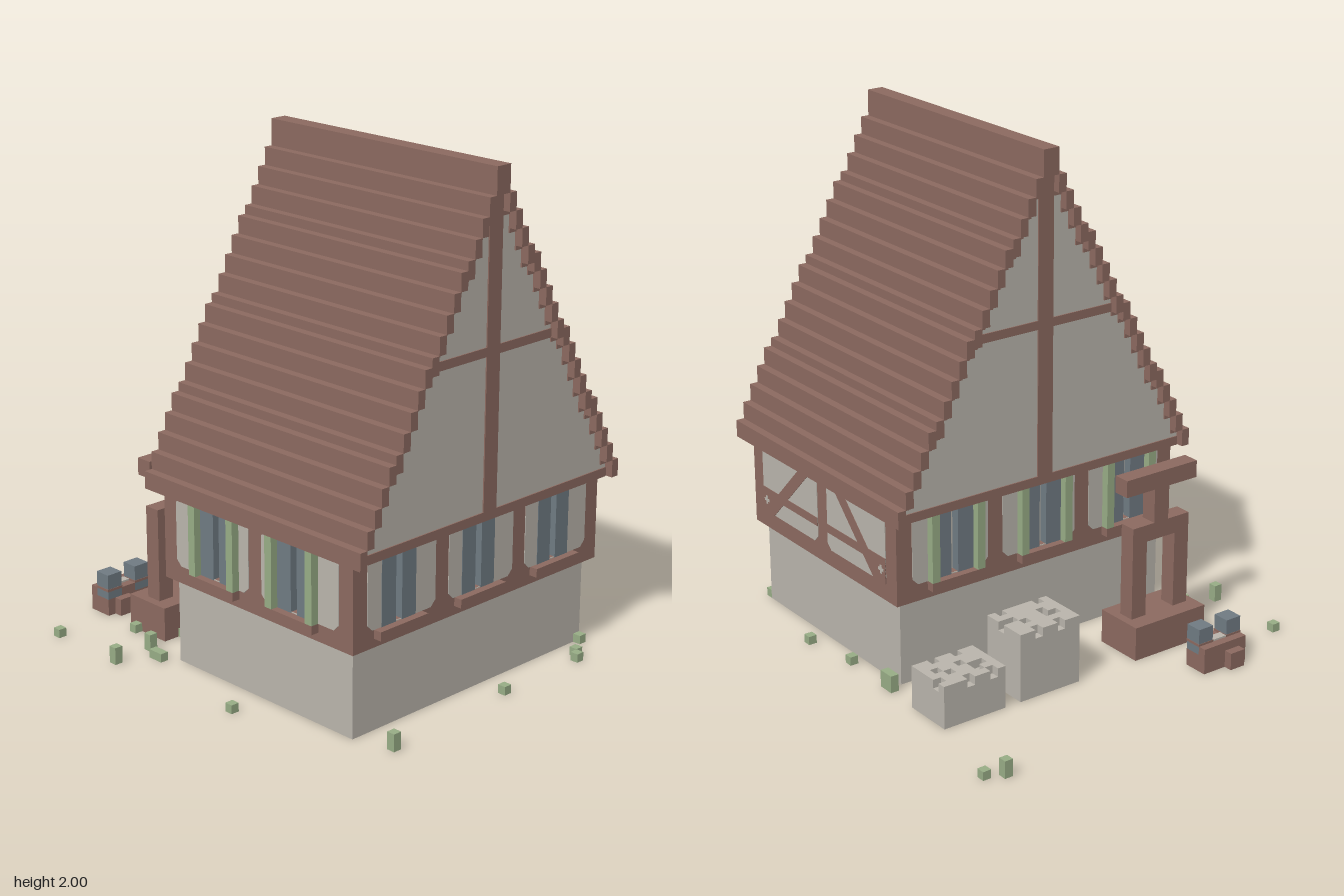
import * as THREE from 'three';

const V = 2 / 58; // size of one block
const mat = (name, color) =>
  Object.assign(new THREE.MeshStandardMaterial({ color, side: THREE.DoubleSide }), { name });

export function createModel() {
  const cream = mat('plaster', 0xbab5ac);
  const brown = mat('timber', 0x8c6a60);
  const slate = mat('slate', 0x707b83);
  const green = mat('leaf', 0x98ad86);

  const root = new THREE.Group();
  root.name = 'cottage';
  root.scale.setScalar(V); // everything below is measured in blocks

  const group = (name) => {
    const g = new THREE.Group();
    g.name = name;
    root.add(g);
    return g;
  };
  const box = (parent, name, m, x0, x1, y0, y1, z0, z1) => {
    const mesh = new THREE.Mesh(new THREE.BoxGeometry(x1 - x0, y1 - y0, z1 - z0), m);
    mesh.position.set((x0 + x1) / 2, (y0 + y1) / 2, (z0 + z1) / 2);
    mesh.name = name;
    parent.add(mesh);
    return mesh;
  };
  // Box without its bottom face
  const openBox = (...args) => {
    const { geometry } = box(...args);
    const index = Array.from(geometry.index.array);
    index.splice(18, 6);
    geometry.clearGroups();
    geometry.setIndex(index);
  };
  const vectors = (points) => points.map(([x, y]) => new THREE.Vector2(x, y));
  const plate = (parent, name, m, points, depth, z, slots = []) => {
    const shape = new THREE.Shape(vectors(points));
    for (const u of slots)
      shape.holes.push(new THREE.Path(vectors([[u - 0.5, 12.1], [u - 0.5, 19.9], [u + 0.5, 19.9], [u + 0.5, 12.1]])));
    const mesh = new THREE.Mesh(new THREE.ExtrudeGeometry(shape, { depth, bevelEnabled: false }), m);
    mesh.position.z = z;
    mesh.name = name;
    parent.add(mesh);
  };

  // Hollow foundation, open below
  const base = group('foundation');
  openBox(base, 'foundationWalls', cream, -17.5, 18.5, 0, 10, -4.5, 22.5);
  box(base, 'foundationCeiling', cream, -17.4, 18.4, 6, 6.2, -4.4, 22.4);

  // Timber storey core; each wall is dressed in its own frame (u along, y up, z outward)
  box(root, 'upperStorey', brown, -17.5, 18.5, 10, 20, -4.5, 22.5);
  const wall = (name, x, z, turn, half, slots) => {
    const g = group(name);
    g.position.set(x, 0, z);
    g.rotation.y = turn;
    plate(g, 'timberWall', brown, [[-half, 10], [half, 10], [half, 20], [-half, 20]], 1, -1, slots);
    return g;
  };
  const panel = (g, u0, u1, slots) => {
    const c = 0.7;
    plate(g, 'plasterPanel', cream, [[u0 + c, 12], [u1 - c, 12], [u1, 12 + c], [u1, 20 - c],
      [u1 - c, 20], [u0 + c, 20], [u0, 20 - c], [u0, 12 + c]], 0.08, 0, slots);
  };
  // Two casements with a recessed gap between them
  const windowAt = (g, u, vines) => {
    box(g, 'windowGap', cream, u - 0.5, u + 0.5, 12, 20, -1, -0.9);
    for (const s of [-1, 1]) {
      box(g, 'windowPane', slate, u + s * 1.475 - 1.025, u + s * 1.475 + 1.025, 12, 20, -1, 0.14);
      if (vines) box(g, 'vine', green, u + s * 3 - 0.5, u + s * 3 + 0.5, 12, 20, 0, 1);
    }
    box(g, 'windowSill', brown, u - 3.5, u + 3.5, 11, 12, 0, 1);
  };

  const bays = [-12, 0, 12];
  for (const [name, z, turn, shift, vines] of [['frontWall', 23.5, 0, -0.5, false],
    ['backWall', -5.5, Math.PI, 0.5, true]]) {
    const g = wall(name, 0.5, z, turn, 19, bays.map((u) => u + shift));
    for (const u of bays) {
      panel(g, u - 5, u + 5, [u + shift]);
      windowAt(g, u + shift, vines);
    }
  }

  const rightWall = wall('bracedWall', 19.5, 9, Math.PI / 2, 13.5, []);
  const leftWall = wall('windowWall', -18.5, 9, -Math.PI / 2, 13.5, [-6, 6]);
  for (const s of [-1, 1]) {
    const u0 = s < 0 ? -12.5 : 1;
    panel(rightWall, u0, u0 + 11.5, []);
    panel(leftWall, u0, u0 + 11.5, [s * 6]);
    windowAt(leftWall, s * 6, true);
    box(rightWall, 'rail', brown, u0, u0 + 11.5, 14, 15, 0, 0.14);
    // Diagonal brace with its filled lower corner
    const brace = [[12.5, 12], [10.2, 12], [2.2, 20], [4.2, 20], [9.7, 14.5], [12.5, 14.5]];
    plate(rightWall, 'diagonalBrace', brown, brace.map(([u, y]) => [s * u, y]), 0.14, 0);
    box(rightWall, 'pegVertical', cream, s * 11.7 - 0.17, s * 11.7 + 0.17, 13, 14, 0, 0.18);
    box(rightWall, 'pegHorizontal', cream, s * 11.7 - 0.5, s * 11.7 + 0.5, 13.33, 13.67, 0, 0.18);
  }

  // Stepped roof: one pair of strips for each block away from the ridge
  const tops = [58, 55, 53, 51, 49, 48, 46, 44, 42, 40, 39, 37, 35, 33, 31, 30, 28, 26, 24, 22];
  const lows = tops.map((top, i) => (i ? top - 2 : top - 3));
  const roof = group('roof');
  const gable = group('gable');
  const ends = [[24.45, 24.65], [-6.65, -6.45]];
  tops.forEach((top, i) => {
    for (const s of [-1, 1]) {
      const x = 0.5 + s * (i + 0.5);
      box(roof, 'roofStrip', brown, x - 0.5, x + 0.5, lows[i], top, -7.5, 25.5);
      // Narrow timber edging under the verge
      if (i < 19) for (const [z0, z1] of ends)
        box(gable, 'vergeTrim', brown, x - 0.5, x + 0.5, lows[i] - 0.5, lows[i], z0, z1);
    }
  });

  // Stepped gable body with its beams on both ends
  const outline = [[-18.5, 20], [19.5, 20]];
  for (let i = 18; i >= 0; i--) outline.push([1.5 + i, lows[i]], [0.5 + i, lows[i]]);
  for (let i = 0; i <= 18; i++) outline.push([0.5 - i, lows[i]], [-0.5 - i, lows[i]]);
  plate(gable, 'gableWall', cream, outline, 31, -6.5);
  for (const [z0, z1] of ends) {
    box(gable, 'kingPost', brown, -0.5, 1.5, 20, 55, z0, z1);
    box(gable, 'collarBeam', brown, -9.5, 10.5, 38, 39, z0, z1);
    box(gable, 'tieBeam', brown, -18.5, 19.5, 19.95, 21, z0, z1);
  }
  box(gable, 'jettyUnderside', brown, -18.5, 19.5, 19.9, 20.1, -6.5, 24.5);

  // Hollow stone piles with a broken top course (# is a standing block)
  const pile = (x, height, rows) => {
    const g = group('stonePile');
    openBox(g, 'stoneBlock', cream, x, x + 8, 0, height - 1, -15.5, -9.5);
    rows.forEach((row, r) => {
      for (const run of row.matchAll(/#+/g))
        box(g, 'topStones', cream, x + run.index, x + run.index + run[0].length,
          height - 1, height, -15.5 + r, -14.5 + r);
    });
  };
  pile(2.5, 8, ['##.##.##', '########', '#..##.##', '##.###..', '########', '#.####.#']);
  pile(12.5, 5, ['#.##.###', '##.####.', '#..##.##', '###.##.#', '########', '##.##.##']);

  // Timber stand: trough, open frame, stem and crossbar
  const stand = group('timberStand');
  openBox(stand, 'trough', brown, -15.5, -5.5, 0, 4, -15.5, -9.5);
  for (const x of [-14.5, -8.5]) box(stand, 'post', brown, x, x + 2, 4, 13, -13.5, -11.5);
  box(stand, 'lintel', brown, -14.5, -6.5, 13, 15, -13.5, -11.5);
  box(stand, 'stem', brown, -11.5, -9.5, 15, 19, -13.5, -11.5);
  box(stand, 'crossbar', brown, -15.5, -5.5, 19, 21, -13.5, -11.5);

  // Small pair of buckets on a low wooden block
  const buckets = group('buckets');
  openBox(buckets, 'bucketBase', brown, -15.5, -9.5, 0, 2, -21.5, -19.5);
  openBox(buckets, 'bucketShelf', brown, -15.5, -9.5, 0, 3, -22.5, -21.5);
  for (const z of [-23.5, -19.5]) openBox(buckets, 'step', brown, -14.5, -12.5, 0, 2, z, z + 1);
  box(buckets, 'bucketMiddle', brown, -13.5, -11.5, 2, 3, -21.5, -19.5);
  box(buckets, 'bucketFiller', cream, -13.5, -11.5, 3, 3.2, -21.5, -20.5);
  for (const x of [-15.5, -11.5]) {
    box(buckets, 'bucket', slate, x, x + 2, 2, 5, -21.5, -19.5);
    box(buckets, 'bucketBand', brown, x - 0.05, x + 2.05, 2.95, 3.25, -21.55, -19.45);
  }

  // Grass tufts: x, z of the centre and height
  const grass = group('grass');
  for (const [x, z, h] of [[21, -27, 2], [23, -26, 1], [-23, -19, 1], [-16, -14, 1], [-23, -9, 2],
    [-18, -9, 2], [-13, -9, 1], [0, -8, 1], [-22, 9, 1], [21, 10, 1], [-16, 27, 2], [2, 26, 1],
    [14, 26, 1], [15, 25, 1], [18, 23, 1], [20, 3, 1], [20, -4, 2], [20, -5, 2], [-19, -6, 1], [-19, -7, 1]])
    box(grass, 'tuft', green, x - 0.5, x + 0.5, 0, h, z - 0.5, z + 0.5);

  const model = new THREE.Group();
  model.name = 'cottageModel';
  model.add(root);
  return model;
}
